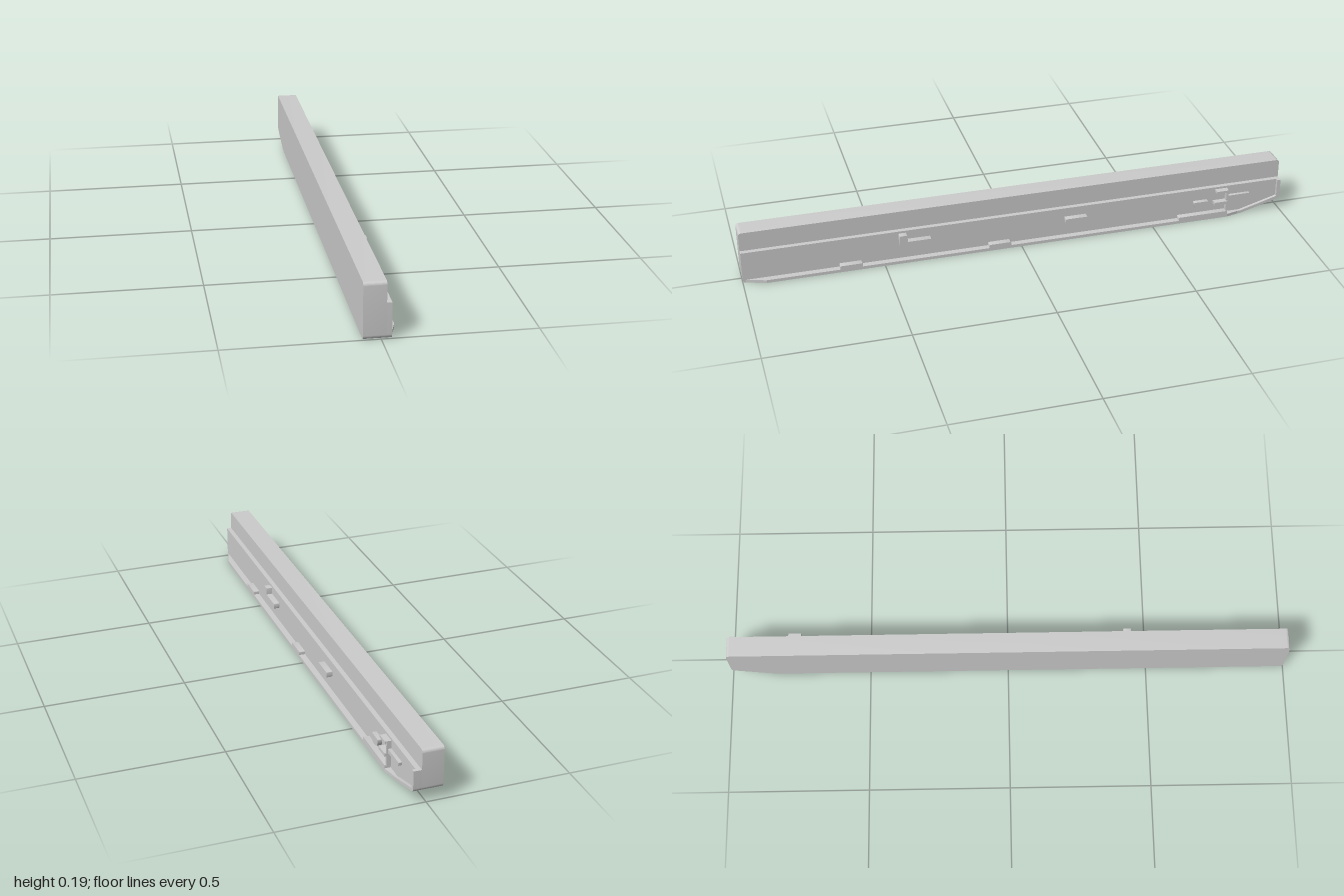
import * as THREE from 'three';
import { toCreasedNormals } from 'three/addons/utils/BufferGeometryUtils.js';

const material = new THREE.MeshStandardMaterial({ color: 0xcccccc });
const FACE = 0.034; // x of the recessed lower face
const OUT = 0.056; // x reached by the ledge and bosses

// Closed shape from [a, b, radius] corners, rounding where a radius is given
function roundedShape(corners) {
  const shape = new THREE.Shape();
  const n = corners.length;
  corners.forEach(([a, b, r = 0], i) => {
    const c = new THREE.Vector2(a, b);
    const toward = (j) => {
      const p = new THREE.Vector2(corners[j][0], corners[j][1]);
      return p.sub(c).normalize().multiplyScalar(r).add(c);
    };
    const p = toward((i + n - 1) % n), q = toward((i + 1) % n);
    if (i === 0) shape.moveTo(p.x, p.y);
    else shape.lineTo(p.x, p.y);
    if (r > 0) shape.quadraticCurveTo(c.x, c.y, q.x, q.y);
  });
  shape.closePath();
  return shape;
}

const flip = (corners) => corners.map(([z, y, r]) => [-z, y, r]);

// Side outline of [z, y, radius] corners, extruded from x0 to x1
function sideSlab(name, corners, x0, x1) {
  const geo = new THREE.ExtrudeGeometry(roundedShape(flip(corners)), {
    depth: x1 - x0, bevelEnabled: false, curveSegments: 6,
  });
  geo.rotateY(Math.PI / 2).translate(x0, 0, 0);
  const mesh = new THREE.Mesh(toCreasedNormals(geo, 0.5), material);
  mesh.name = name;
  return mesh;
}

const rect = (z0, z1, y0, y1, r = 0) => [[z0, y0, r], [z1, y0, r], [z1, y1, r], [z0, y1, r]];

export function createModel() {
  const group = new THREE.Group();
  group.name = 'rail';

  // Tall backing bar with rounded ends and a sloped tail
  group.add(sideSlab('mainBar', [
    [1, 0, 0.014], [-0.84, 0, 0.03], [-1, 0.045, 0.012], [-1, 0.19, 0.012], [1, 0.19, 0.012],
  ], -0.057, 0.017));

  // Lower step in front of the bar
  group.add(sideSlab('lowerStep', [
    [1, 0, 0.014], [-0.84, 0, 0.03], [-1, 0.045, 0.012], [-1, 0.12], [1, 0.12],
  ], 0.017, FACE));

  // Bottom ledge, tapering away at the front and narrowing toward the tail
  const plan = [[0.99, FACE], [0.92, OUT], [-0.79, OUT], [-0.835, 0.045], [-0.835, FACE]];
  const ledgeGeo = new THREE.ExtrudeGeometry(
    roundedShape(plan.map(([z, x]) => [-z, -x])),
    { depth: 0.011, bevelEnabled: false },
  );
  ledgeGeo.rotateX(-Math.PI / 2).rotateY(Math.PI / 2).translate(0, 0.001, 0);
  const ledge = new THREE.Mesh(ledgeGeo, material);
  ledge.name = 'bottomLedge';
  group.add(ledge);

  // Thin rim following the slope and the back end
  group.add(sideSlab('tailRim', [
    [-0.83, 0.001], [-0.845, 0.001], [-1, 0.045, 0.012], [-1, 0.12],
    [-0.987, 0.12], [-0.987, 0.053], [-0.845, 0.012], [-0.83, 0.012],
  ], FACE, 0.045));

  // Raised tabs on the ledge
  for (const [z0, z1] of [[0.66, 0.58], [0.12, 0.04], [-0.6, -0.79]]) {
    group.add(sideSlab('ledgeTab', [
      [z0, 0.01], [z1, 0.01], [z1, 0.025, 0.004], [z0, 0.025, 0.004],
    ], FACE, OUT));
  }

  // Locating bosses on the face
  group.add(sideSlab('hookBoss', [
    [0.445, 0.065, 0.004], [0.33, 0.065, 0.004], [0.33, 0.086, 0.004],
    [0.417, 0.086], [0.417, 0.112, 0.003], [0.445, 0.112, 0.003],
  ], FACE, OUT));
  group.add(sideSlab('blockBoss', rect(-0.165, -0.247, 0.065, 0.086, 0.003), FACE, OUT));
  group.add(sideSlab('halfRoundBoss', [
    [-0.66, 0.075, 0.003], [-0.662, 0.043, 0.024], [-0.713, 0.043, 0.024], [-0.715, 0.075, 0.003],
  ], FACE, 0.05));

  // Latch cluster near the tail
  group.add(sideSlab('latchWall', rect(-0.785, -0.792, 0.02, 0.112), FACE, 0.05));
  group.add(sideSlab('latchUpperTab', rect(-0.745, -0.79, 0.103, 0.112), FACE, OUT));
  group.add(sideSlab('latchLowerTab', rect(-0.738, -0.79, 0.055, 0.067), FACE, OUT));
  group.add(sideSlab('latchArm', rect(-0.79, -0.88, 0.07, 0.084, 0.004), FACE, 0.046));

  return group;
}
